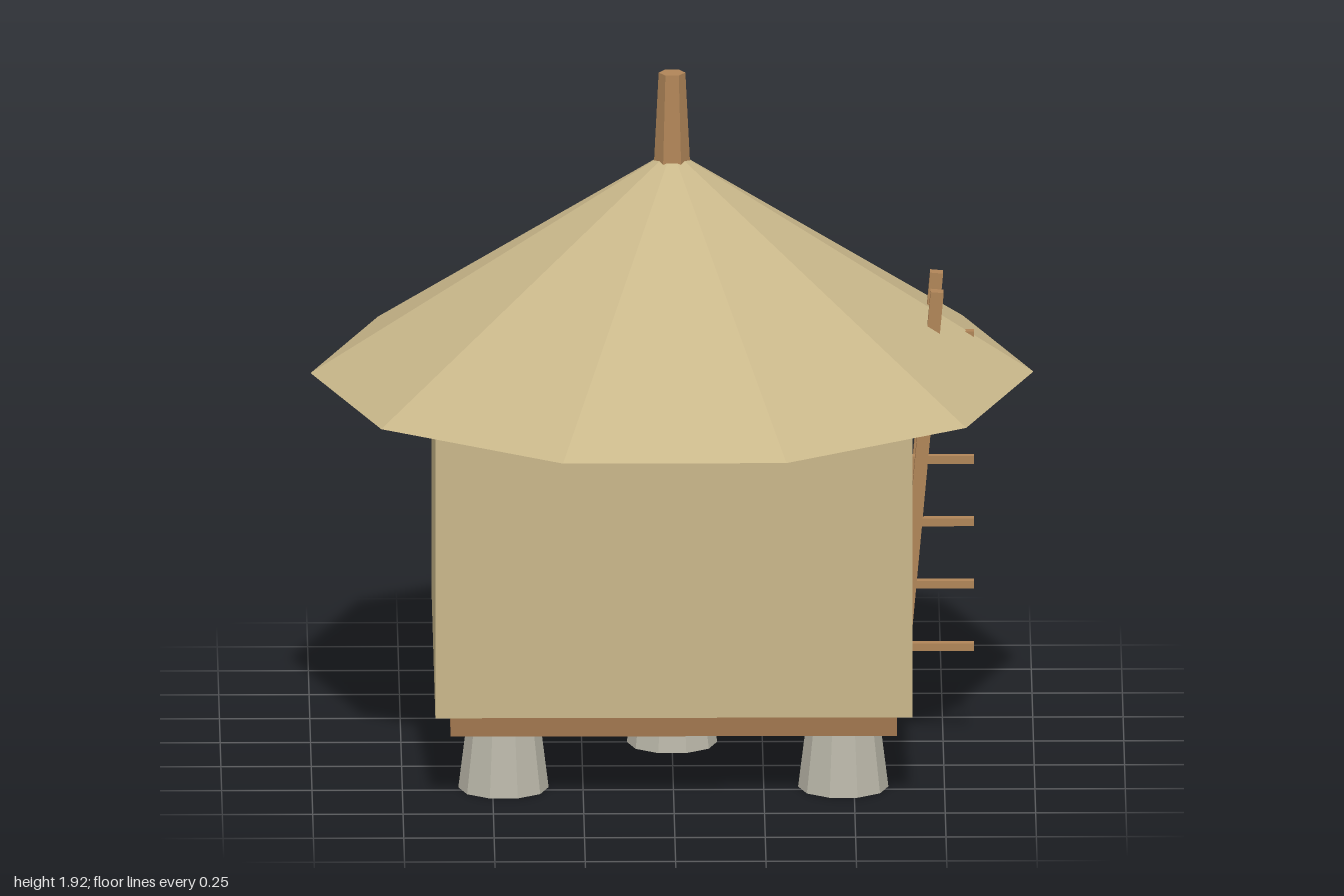
import * as THREE from 'three';

const mat = (color) => new THREE.MeshStandardMaterial({ color, flatShading: true });

export function createModel() {
  const hut = new THREE.Group();
  hut.name = 'stiltHut';
  const thatch = mat(0xc9b78a);
  const wood = mat(0xb08558);
  const plankWood = mat(0xa0764e);
  const stone = mat(0xb9b6a8);

  const add = (name, geometry, material, x, y, z, parent = hut) => {
    const mesh = new THREE.Mesh(geometry, material);
    mesh.name = name;
    mesh.position.set(x, y, z);
    parent.add(mesh);
    return mesh;
  };

  // Tapered stone footings: four corners and the centre
  const footing = new THREE.CylinderGeometry(0.1, 0.125, 0.2, 10);
  footing.rotateY(Math.PI / 10);
  for (const [x, z] of [[-1, -1], [1, -1], [0, 0], [-1, 1], [1, 1]]) {
    add('footing', footing, stone, x * 0.47, 0.1, z * 0.47);
  }

  // Floor: planks along x with narrow gaps under a thin deck
  const floor = new THREE.Group();
  floor.name = 'floor';
  hut.add(floor);
  add('deck', new THREE.BoxGeometry(1.22, 0.035, 1.22), plankWood, 0, 0.235, 0, floor);
  const count = 6, pitch = 1.235 / count;
  const plank = new THREE.BoxGeometry(1.235, 0.065, pitch - 0.025);
  for (let i = 0; i < count; i++) {
    add('floorPlank', plank, plankWood, 0, 0.2145, (i - (count - 1) / 2) * pitch, floor);
  }

  // Walls
  add('walls', new THREE.BoxGeometry(1.32, 0.81, 1.32), thatch, 0, 0.655, 0);

  // Ten-sided roof with a corner on the x axis
  const roof = new THREE.ConeGeometry(1, 0.64, 10);
  roof.rotateY(Math.PI / 10);
  add('roof', roof, thatch, 0, 1.38, 0);

  // Six-sided post at the peak
  const post = new THREE.CylinderGeometry(0.037, 0.05, 0.26, 6);
  post.rotateY(Math.PI / 6);
  add('roofPost', post, wood, 0, 1.79, 0);

  // Ladder: two leaning rails and rungs that stick out from the wall
  const ladder = new THREE.Group();
  ladder.name = 'ladder';
  hut.add(ladder);
  const rail = new THREE.BoxGeometry(0.036, 1.11, 0.036);
  for (const side of [-1, 1]) {
    add('ladderRail', rail, wood, 0.683, 0.767, side * 0.102, ladder).rotation.z = -0.09;
  }
  const rung = new THREE.BoxGeometry(0.3, 0.022, 0.025);
  for (let i = 0; i < 6; i++) {
    add('ladderRung', rung, wood, 0.685, 0.273 + i * 0.179, 0, ladder);
  }

  return hut;
}
